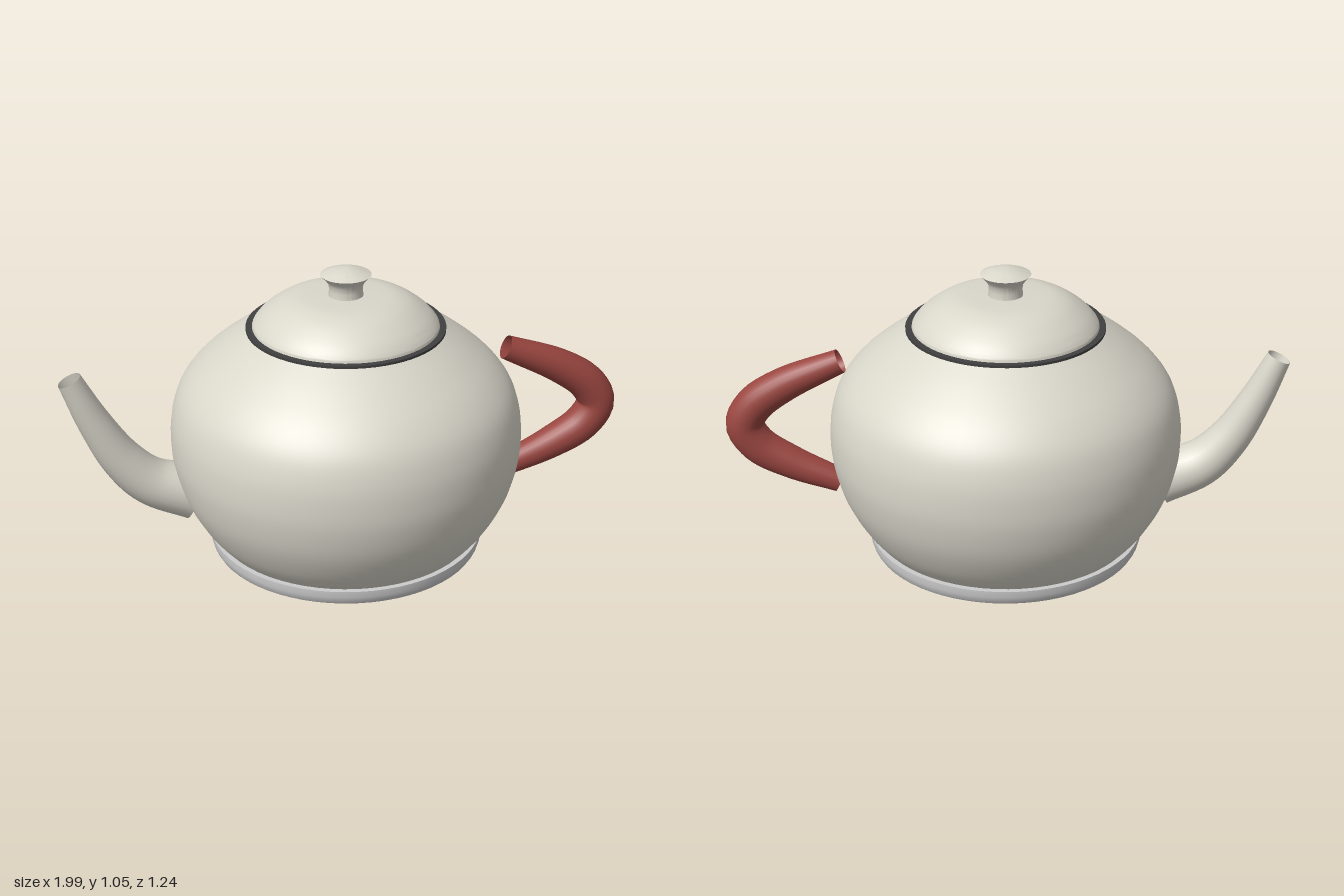
import * as THREE from 'three';
import { toCreasedNormals } from 'three/addons/utils/BufferGeometryUtils.js';

const paint = (color) => new THREE.MeshStandardMaterial({ color, side: THREE.DoubleSide });
const cream = paint(0xd9d6ca);
const grey = paint(0xcccccc);
const dark = paint(0x404040);
const red = paint(0x9a4640);

const vec2 = (points) => points.map(([r, y]) => new THREE.Vector2(r, y));

// Smooth curve through a few radius/height points
const smooth = (points, n = 32) => new THREE.SplineCurve(vec2(points)).getPoints(n);

function turned(name, profile, material) {
  const geometry = toCreasedNormals(new THREE.LatheGeometry(profile, 64), 0.6);
  const mesh = new THREE.Mesh(geometry, material);
  mesh.name = name;
  return mesh;
}

// Open tube along a curve in the z = 0 plane; radiusAt(u) gives its thickness
function taperedTube(name, points, radiusAt, material) {
  const path = new THREE.CatmullRomCurve3(points.map(([x, y]) => new THREE.Vector3(x, y, 0)));
  const steps = 40, sides = 24;
  const geometry = new THREE.TubeGeometry(path, steps, 1, sides);
  const position = geometry.attributes.position;
  const v = new THREE.Vector3();
  for (let i = 0; i < position.count; i++) {
    const u = Math.floor(i / (sides + 1)) / steps;
    const centre = path.getPointAt(u);
    v.fromBufferAttribute(position, i).sub(centre).multiplyScalar(radiusAt(u)).add(centre);
    position.setXYZ(i, v.x, v.y, v.z);
  }
  const mesh = new THREE.Mesh(geometry, material);
  mesh.name = name;
  return mesh;
}

export function createModel() {
  const teapot = new THREE.Group();
  teapot.name = 'teapot';

  // Round belly, closed inside the foot and below the lid
  teapot.add(turned('body', smooth([
    [0.46, 0.04], [0.525, 0.12], [0.583, 0.23], [0.613, 0.34], [0.62, 0.43], [0.612, 0.52],
    [0.582, 0.61], [0.52, 0.69], [0.43, 0.765], [0.342, 0.825],
  ], 40), cream));

  // Foot ring and the flat underside within it
  teapot.add(turned('footRing', vec2([
    [0.36, 0], [0.478, 0], [0.485, 0.012], [0.49, 0.03], [0.49, 0.053], [0.44, 0.053],
  ]), grey));
  teapot.add(turned('underside', vec2([[0, 0.001], [0.36, 0.001]]), cream));

  // Dark seam under the lid
  teapot.add(turned('lidSeam', vec2([
    [0.3, 0.823], [0.347, 0.823], [0.347, 0.832], [0.3, 0.832],
  ]), dark));

  // Domed lid
  teapot.add(turned('lid', [
    new THREE.Vector2(0.31, 0.828),
    ...smooth([
      [0.325, 0.832], [0.319, 0.847], [0.287, 0.882], [0.23, 0.921], [0.175, 0.94], [0.12, 0.945],
    ], 24),
    new THREE.Vector2(0, 0.945),
  ], cream));

  // Knob with a waisted neck and a shallow pointed cap
  teapot.add(turned('knob', vec2([
    [0.061, 0.94], [0.058, 0.965], [0.06, 0.985], [0.07, 1.0], [0.088, 1.02], [0.05, 1.035], [0, 1.046],
  ]), cream));

  // Spout narrows towards its open tip
  teapot.add(taperedTube('spout', [
    [-0.55, 0.233], [-0.7, 0.29], [-0.795, 0.385], [-0.88, 0.53], [-0.958, 0.7],
  ], (u) => 0.1 - 0.057 * u, cream));

  // Handle swells in the middle
  teapot.add(taperedTube('handle', [
    [0.577, 0.7], [0.78, 0.61], [0.885, 0.535], [0.923, 0.46], [0.88, 0.38], [0.765, 0.307], [0.595, 0.232],
  ], (u) => 0.043 + 0.025 * Math.sin(Math.PI * u), red));

  return teapot;
}
